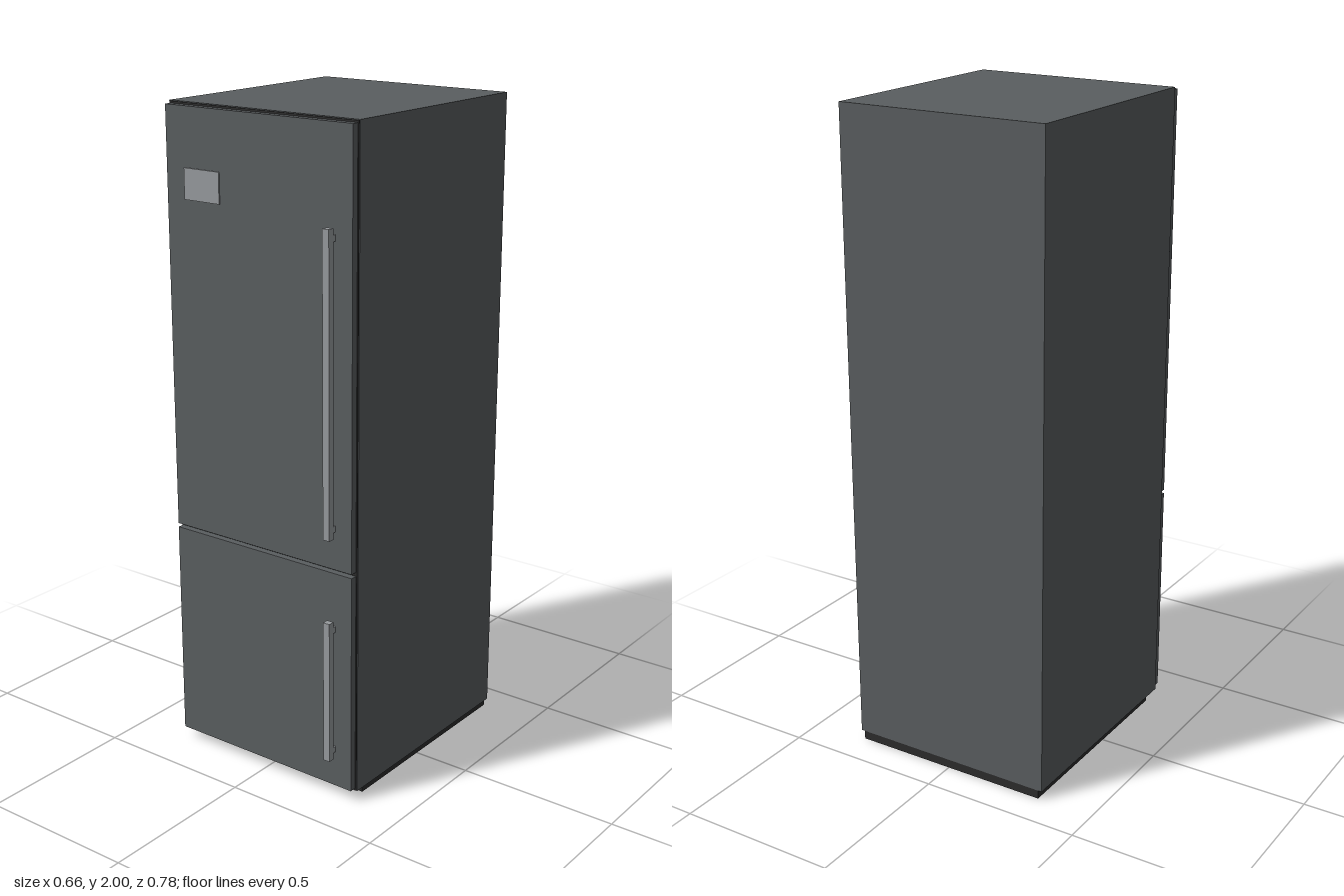
import * as THREE from 'three';

const mat = (name, color) => {
  const m = new THREE.MeshStandardMaterial({ color });
  m.name = name;
  return m;
};

export function createModel() {
  const model = new THREE.Group();
  model.name = 'refrigerator';
  const steel = mat('darkSteel', 0x5a5e60);
  const trim = mat('lightMetal', 0x979b9e);
  const dark = mat('darkRubber', 0x2c2c2c);

  // Box given by its extents along each axis
  const box = (name, material, [x0, x1], [y0, y1], [z0, z1], parent = model) => {
    const mesh = new THREE.Mesh(new THREE.BoxGeometry(x1 - x0, y1 - y0, z1 - z0), material);
    mesh.position.set((x0 + x1) / 2, (y0 + y1) / 2, (z0 + z1) / 2);
    mesh.name = name;
    parent.add(mesh);
    return mesh;
  };

  // Cabinet, recessed plinth and door seal
  box('cabinet', steel, [-0.332, 0.332], [0.027, 2], [-0.392, 0.332]);
  box('plinth', dark, [-0.32, 0.32], [0, 0.027], [-0.392, 0.29]);
  box('doorSeal', dark, [-0.33, 0.33], [0.029, 1.998], [0.332, 0.336]);

  // Doors, each with a bar handle on two posts
  const doors = [
    { name: 'freezer', y: [0.036, 0.718], bar: [0.13, 0.573] },
    { name: 'fridge', y: [0.73, 1.992], bar: [0.828, 1.714] },
  ];
  for (const { name, y, bar } of doors) {
    box(name + 'Door', steel, [-0.327, 0.327], y, [0.336, 0.357]);
    const handle = new THREE.Group();
    handle.name = name + 'Handle';
    model.add(handle);
    box('handleBar', trim, [0.251, 0.273], bar, [0.37, 0.39], handle);
    for (const py of [bar[0] + 0.028, bar[1] - 0.028]) {
      box('handlePost', trim, [0.253, 0.271], [py - 0.009, py + 0.009], [0.357, 0.37], handle);
    }
  }

  // Thin control panel on the upper door
  box('controlPanel', trim, [-0.26, -0.132], [1.73, 1.82], [0.357, 0.361]);

  return model;
}
